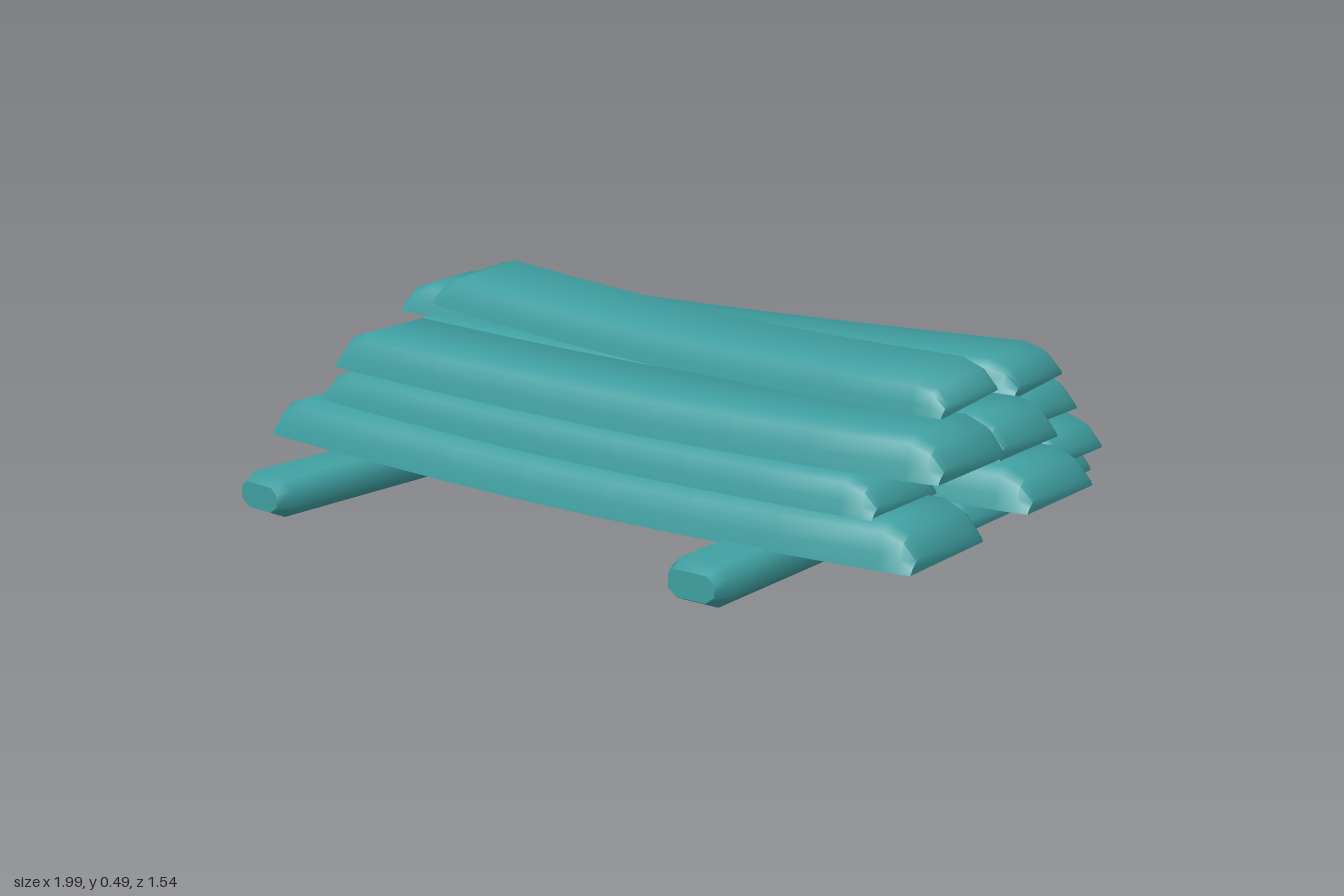
import * as THREE from 'three';
import { toCreasedNormals } from 'three/addons/utils/BufferGeometryUtils.js';

const material = new THREE.MeshStandardMaterial({ color: 0x3f9ea0 });

// Cross-sections as [half-width fraction, height fraction], starting along the underside
const PLANK = [[-1, 0], [1, 0], [0.95, 0.38], [0.85, 0.8], [0.7, 1], [-0.7, 1], [-0.85, 0.8], [-0.95, 0.38]];
const BEAM = [[-0.62, 0], [0.62, 0], [1, 0.28], [1, 0.75], [0.7, 1], [-0.7, 1], [-1, 0.75], [-1, 0.28]];

// Stations along the length: [distance from the end, width scale, height scale]
const PLANK_END = [[0, 0.96, 0.32], [0.03, 0.99, 0.78], [0.08, 1, 1]];
const BEAM_END = [[0, 0.8, 0.66], [0.035, 1, 1]];

// Loft a timber between two ends, each { x, z, y (underside), w, roll }
function timber(name, a, b, h, { sag = 0, profile = PLANK, end = PLANK_END, mid = 7 } = {}) {
  const start = new THREE.Vector3(a.x, a.y, a.z);
  const stop = new THREE.Vector3(b.x, b.y, b.z);
  const length = start.distanceTo(stop);
  const side = new THREE.Vector3(-(b.z - a.z), 0, b.x - a.x).normalize();
  const stations = end.map(([d, w, s]) => [d / length, w, s]);
  for (let i = 1; i < mid; i++) stations.push([0.06 + (0.88 * i) / mid, 1, 1]);
  for (const [d, w, s] of [...end].reverse()) stations.push([1 - d / length, w, s]);

  const positions = [], index = [], n = profile.length;
  for (const [t, ws, hs] of stations) {
    const centre = start.clone().lerp(stop, t);
    centre.y -= sag * Math.sin(Math.PI * t);
    const half = THREE.MathUtils.lerp(a.w, b.w, t) * ws / 2;
    const roll = THREE.MathUtils.lerp(a.roll ?? 0, b.roll ?? 0, t);
    for (const [px, py] of profile) {
      const lift = profile === BEAM ? 0.5 + (py - 0.5) * hs : py * hs;
      const p = centre.clone().addScaledVector(side, px * half);
      positions.push(p.x, p.y + lift * h + px * half * Math.tan(roll), p.z);
    }
  }
  const last = (stations.length - 1) * n;
  for (let i = 0; i < last; i += n) {
    for (let j = 0; j < n; j++) {
      const k = (j + 1) % n;
      index.push(i + j, i + n + j, i + n + k, i + j, i + n + k, i + k);
    }
  }
  // End caps
  for (let j = 1; j < n - 1; j++) index.push(0, j, j + 1, last, last + j + 1, last + j);

  const geometry = new THREE.BufferGeometry();
  geometry.setAttribute('position', new THREE.Float32BufferAttribute(positions, 3));
  geometry.setIndex(index);
  const mesh = new THREE.Mesh(toCreasedNormals(geometry, 0.9), material);
  mesh.name = name;
  return mesh;
}

const at = (x, z, y, w, roll = 0) => ({ x, z, y, w, roll });

export function createModel() {
  const group = new THREE.Group();
  group.name = 'plankStack';

  // Two support beams running front to back
  const beam = { profile: BEAM, end: BEAM_END, mid: 3 };
  group.add(
    timber('leftSupport', at(0.47, 0.68, 0.005, 0.155), at(0.47, -0.77, 0.005, 0.155), 0.095, beam),
    timber('rightSupport', at(-0.76, 0.765, 0.005, 0.16), at(-0.645, -0.69, 0.005, 0.16), 0.095, beam),
  );

  // Stacked planks: name, right end, left end, thickness, sag
  const planks = [
    // Front row
    ['frontPlankLower', at(-1, 0.345, 0.11, 0.29), at(0.9, 0.335, 0.11, 0.31), 0.1, 0.025],
    ['frontPlankMiddle', at(-0.88, 0.315, 0.2, 0.23), at(0.78, 0.32, 0.2, 0.27), 0.085, 0.015],
    ['frontPlankUpper', at(-0.82, 0.3, 0.3, 0.28), at(0.93, 0.29, 0.3, 0.29), 0.095, 0.02],
    // Middle row
    ['centrePlankLower', at(-0.91, 0.01, 0.1, 0.29), at(0.82, 0, 0.1, 0.3), 0.075, 0.01],
    ['centrePlankMiddle', at(-0.84, 0, 0.18, 0.3), at(0.99, 0.01, 0.18, 0.3), 0.09, 0.015],
    ['centrePlankUpper', at(-0.9, 0.01, 0.28, 0.27), at(0.9, 0, 0.28, 0.27), 0.09, 0.015],
    // Back row
    ['backPlankLower', at(-0.78, -0.36, 0.105, 0.3), at(0.8, -0.33, 0.105, 0.3), 0.095, 0.015],
    ['backPlankMiddle', at(-1, -0.33, 0.18, 0.3), at(0.86, -0.3, 0.185, 0.24), 0.08, 0.015],
    ['backPlankUpper', at(-0.88, -0.34, 0.275, 0.21), at(0.78, -0.3, 0.265, 0.27), 0.085, 0.015],
    // Two loose planks laid askew on top
    ['crossPlankBack', at(-0.97, -0.07, 0.355, 0.25), at(0.77, -0.265, 0.35, 0.29), 0.08, 0.01],
    ['crossPlankTop', at(-0.79, -0.03, 0.415, 0.26, -0.1), at(0.84, 0.16, 0.405, 0.21, -0.15), 0.075, 0.025],
  ];
  for (const [name, a, b, h, sag] of planks) group.add(timber(name, a, b, h, { sag }));

  return group;
}
